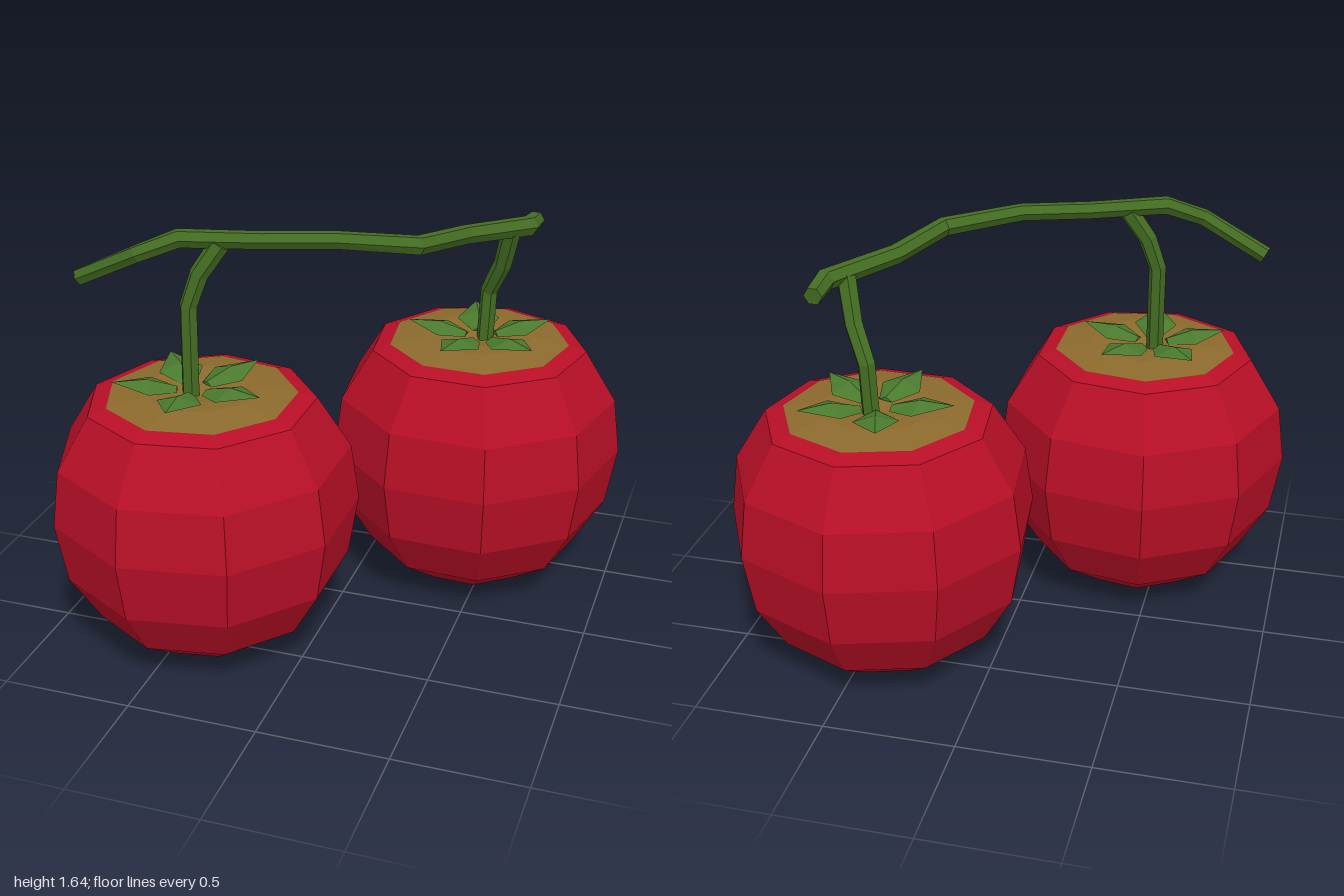
import * as THREE from 'three';

const red = new THREE.MeshStandardMaterial({ color: 0xb80f26 });
const brown = new THREE.MeshStandardMaterial({ color: 0x8c6a2d });
const stemGreen = new THREE.MeshStandardMaterial({ color: 0x446d22 });
const leafGreen = new THREE.MeshStandardMaterial({ color: 0x4a7a2e });
[red, brown, stemGreen, leafGreen].forEach((m, i) => {
  m.name = ['tomatoRed', 'crownBrown', 'stemGreen', 'sepalGreen'][i];
});

// Faceted mesh: unshared corners give one normal per face
function facetMesh(name, geometry, material) {
  const g = geometry.index ? geometry.toNonIndexed() : geometry;
  g.computeVertexNormals();
  const mesh = new THREE.Mesh(g, material);
  mesh.name = name;
  return mesh;
}

function indexed(points, index) {
  const g = new THREE.BufferGeometry().setFromPoints(points);
  g.setIndex(index);
  return g;
}

// Nine-sided turned surface with its first corner at the given angle
function turned(name, profile, degrees, material) {
  const pts = profile.map(([r, y]) => new THREE.Vector2(r, y));
  const phi = THREE.MathUtils.degToRad(90 - degrees);
  return facetMesh(name, new THREE.LatheGeometry(pts, 9, phi, Math.PI * 2), material);
}

// Six-sided stalk through a list of [x, y, z, radius] points, capped at both ends
function stalk(name, path, ref) {
  const n = 6, pts = path.map(p => new THREE.Vector3(p[0], p[1], p[2]));
  const verts = [], index = [];
  pts.forEach((p, i) => {
    const tangent = new THREE.Vector3();
    if (i > 0) tangent.add(p.clone().sub(pts[i - 1]).normalize());
    if (i < pts.length - 1) tangent.add(pts[i + 1].clone().sub(p).normalize());
    tangent.normalize();
    const u = ref.clone().cross(tangent).normalize();
    const v = tangent.clone().cross(u);
    for (let k = 0; k < n; k++) {
      const a = (k / n) * Math.PI * 2;
      verts.push(p.clone().addScaledVector(u, path[i][3] * Math.cos(a)).addScaledVector(v, path[i][3] * Math.sin(a)));
      if (i === 0) continue;
      const b = (i - 1) * n, k2 = (k + 1) % n;
      index.push(b + k, b + k2, b + n + k2, b + k, b + n + k2, b + n + k);
    }
  });
  const last = (pts.length - 1) * n;
  for (let k = 1; k < n - 1; k++) {
    index.push(0, k + 1, k, last, last + k, last + k + 1);
  }
  return facetMesh(name, indexed(verts, index), stemGreen);
}

// Pointed sepal with a raised ridge, lying along +x
function sepal() {
  const p = [
    [0.06, 1.035, 0.03], [0.16, 1.052, 0.085], [0.30, 1.072, 0],
    [0.16, 1.052, -0.085], [0.06, 1.035, -0.03],
    [0.06, 1.05, 0], [0.17, 1.08, 0], [0.16, 1.04, 0],
  ].map(c => new THREE.Vector3(...c));
  return indexed(p, [
    0, 1, 6, 0, 6, 5, 1, 2, 6, 2, 3, 6, 3, 4, 5, 3, 5, 6, 4, 0, 5,
    1, 0, 7, 2, 1, 7, 3, 2, 7, 4, 3, 7, 0, 4, 7,
  ]);
}

function tomato(name, x, z, cornerAngle, sepalAngle) {
  const g = new THREE.Group();
  g.name = name;
  g.position.set(x, 0, z);
  g.add(turned('fruit', [
    [0, 0.005], [0.245, 0.025], [0.43, 0.155], [0.545, 0.345],
    [0.585, 0.58], [0.555, 0.8], [0.43, 1.0], [0.36, 1.022],
  ], cornerAngle, red));
  g.add(turned('crown', [[0.36, 1.022], [0.22, 1.043], [0.11, 1.035], [0, 1.01]], cornerAngle, brown));
  for (let i = 0; i < 5; i++) {
    const leaf = facetMesh('sepal', sepal(), leafGreen);
    leaf.rotation.y = -THREE.MathUtils.degToRad(sepalAngle + i * 72);
    leaf.position.set(x < 0 ? -0.03 : 0.01, 0, 0);
    g.add(leaf);
  }
  return g;
}

export function createModel() {
  const model = new THREE.Group();
  model.name = 'tomatoesOnVine';

  model.add(tomato('rightTomato', -0.414, 0.415, 180, 14));
  model.add(tomato('leftTomato', 0.434, -0.422, -87, 36));

  // Main vine running across both fruits
  const up = new THREE.Vector3(0, 1, 0), front = new THREE.Vector3(0, 0, 1);
  model.add(stalk('vine', [
    [-0.87, 1.435, 0.435, 0.033], [-0.62, 1.56, 0.465, 0.033], [-0.48, 1.615, 0.41, 0.036],
    [-0.2, 1.605, 0.31, 0.034], [0.05, 1.605, 0.225, 0.034], [0.32, 1.57, 0.09, 0.037],
    [0.43, 1.54, -0.17, 0.037], [0.615, 1.515, -0.42, 0.04], [0.615, 1.5, -0.55, 0.035],
  ], up));

  // Short stalks down to each fruit
  model.add(stalk('rightStalk', [
    [-0.455, 1.0, 0.415, 0.034], [-0.455, 1.36, 0.405, 0.034],
    [-0.415, 1.48, 0.39, 0.036], [-0.34, 1.595, 0.365, 0.038],
  ], front));
  model.add(stalk('leftStalk', [
    [0.45, 1.0, -0.46, 0.034], [0.46, 1.22, -0.46, 0.034],
    [0.52, 1.35, -0.41, 0.036], [0.56, 1.51, -0.355, 0.038],
  ], front));
  return model;
}
